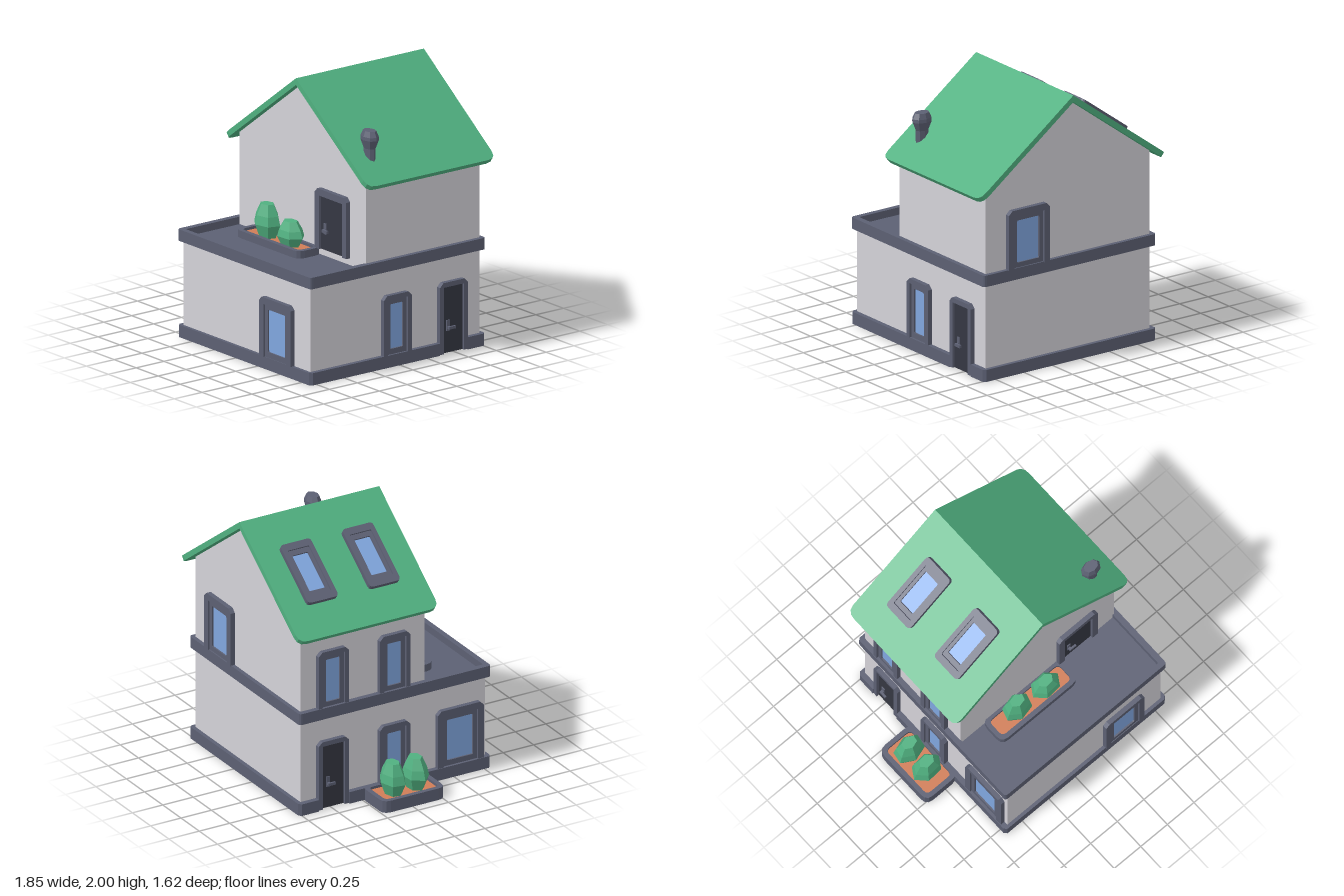
import * as THREE from 'three';

const mat = (name, color) => {
  const m = new THREE.MeshStandardMaterial({ color });
  m.name = name;
  return m;
};

// Rectangle path with per-corner cut or rounded corners
function rectPath(x0, x1, y0, y1, r, Type = THREE.Shape) {
  const p = new Type();
  p.moveTo(x0 + r, y0);
  p.lineTo(x1 - r, y0); p.quadraticCurveTo(x1, y0, x1, y0 + r);
  p.lineTo(x1, y1 - r); p.quadraticCurveTo(x1, y1, x1 - r, y1);
  p.lineTo(x0 + r, y1); p.quadraticCurveTo(x0, y1, x0, y1 - r);
  p.lineTo(x0, y0 + r); p.quadraticCurveTo(x0, y0, x0 + r, y0);
  return p;
}
const polygon = pts => new THREE.Shape(pts.map(p => new THREE.Vector2(p[0], p[1])));
const extrude = (shape, depth) => new THREE.ExtrudeGeometry(shape, { depth, bevelEnabled: false, curveSegments: 3 });

// Extrudes a plan (x, -z) upwards from y0 to y1
function slab(shape, y0, y1) {
  return extrude(shape, y1 - y0).rotateX(-Math.PI / 2).translate(0, y0, 0);
}
const plan = (x0, x1, z0, z1, r, Type) => rectPath(x0, x1, -z1, -z0, r, Type);

// Faceted solid of revolution
function faceted(points, sides) {
  const g = new THREE.LatheGeometry(points.map(p => new THREE.Vector2(p[0], p[1])), sides).toNonIndexed();
  g.computeVertexNormals();
  return g;
}

export function createModel() {
  const wall = mat('wall plaster', 0xd4d2d8);
  const green = mat('green', 0x50b080);
  const slate = mat('slate trim', 0x5c6073);
  const dark = mat('dark door', 0x353742);
  const glass = mat('blue glass', 0x80a6de);
  const soil = mat('terracotta soil', 0xcf7d57);

  const house = new THREE.Group();
  house.name = 'house';
  const add = (name, geo, material, parent = house) => {
    const m = new THREE.Mesh(geo, material);
    m.name = name;
    parent.add(m);
    return m;
  };
  const box = (x0, x1, y0, y1, z0, z1) =>
    new THREE.BoxGeometry(x1 - x0, y1 - y0, z1 - z0).translate((x0 + x1) / 2, (y0 + y1) / 2, (z0 + z1) / 2);

  // Base with notches for the two side doors
  add('base', slab(polygon([
    [-0.64, -0.805], [0.835, -0.805], [0.855, -0.785], [0.855, 0.36], [0.81, 0.36], [0.81, 0.61], [0.855, 0.61],
    [0.855, 0.75], [0.835, 0.77], [-0.64, 0.77], [-0.66, 0.75], [-0.66, 0.61], [-0.61, 0.61], [-0.61, 0.36],
    [-0.66, 0.36], [-0.66, -0.785],
  ]), 0, 0.09), slate);

  // Walls
  add('lowerWalls', box(-0.62, 0.82, 0.02, 0.73, -0.74, 0.78), wall);
  add('upperWalls', extrude(polygon([
    [-0.62, 0.72], [0.82, 0.72], [0.82, 1.435], [0.1, 1.965], [-0.62, 1.435],
  ]), 1.02).translate(0, 0, -0.74), wall);

  // Floor band with raised balcony lip
  const band = plan(-0.66, 0.855, -0.77, 0.805, 0.025);
  band.holes.push(plan(-0.615, 0.81, -0.73, 0.765, 0.01, THREE.Path));
  add('floorBand', slab(band, 0.71, 0.795), slate);
  add('balconyFloor', box(-0.64, 0.83, 0.715, 0.74, 0.2, 0.785), slate);

  // Roof: two slopes meeting at the ridge
  const pitch = 0.637, slope = 1.026, thick = 0.04;
  const slopes = [0, Math.PI].map((turn, i) => {
    const g = new THREE.Group();
    g.name = i ? 'leftOfRidge' : 'rightOfRidge';
    g.position.set(0.1, 2, -0.235);
    g.rotation.y = turn;
    const tilt = new THREE.Group();
    tilt.rotation.z = -pitch;
    g.add(tilt);
    house.add(g);
    const s = new THREE.Shape();
    const h = 0.575, r = 0.07;
    s.moveTo(0, -h);
    s.lineTo(slope - r, -h); s.quadraticCurveTo(slope, -h, slope, -h + r);
    s.lineTo(slope, h - r); s.quadraticCurveTo(slope, h, slope - r, h);
    s.lineTo(0, h);
    add('roofSlope', slab(s, -thick, 0), green, tilt);
    return tilt;
  });

  // Skylights
  for (const z of [0.26, -0.25]) {
    const g = new THREE.Group();
    g.name = 'skylight';
    g.position.set(0.515, 0, z);
    slopes[1].add(g);
    const outer = plan(-0.245, 0.245, -0.125, 0.125, 0.03);
    outer.holes.push(plan(-0.19, 0.19, -0.09, 0.09, 0.01, THREE.Path));
    add('skylightFrame', slab(outer, -0.01, 0.035), slate, g);
    const inner = plan(-0.195, 0.195, -0.095, 0.095, 0.01);
    inner.holes.push(plan(-0.15, 0.15, -0.065, 0.065, 0.008, THREE.Path));
    add('skylightSash', slab(inner, -0.01, 0.022), slate, g);
    add('skylightGlass', box(-0.16, 0.16, 0.002, 0.009, -0.075, 0.075), glass, g);
  }

  // Chimney
  const chimney = add('chimney', faceted(
    [[0.052, 1.44], [0.052, 1.6], [0.08, 1.665], [0.078, 1.69], [0.058, 1.73], [0, 1.73]], 8), slate);
  chimney.scale.z = 0.7;
  chimney.position.set(0.71, 0, 0.16);

  // Door or window, built facing +z with its sill at y = 0
  function opening(kind, w, h, x, y, z, turn) {
    const g = new THREE.Group();
    g.name = kind;
    g.position.set(x, y, z);
    g.rotation.y = turn;
    house.add(g);
    const a = w / 2, t = w > 0.3 ? 0.05 : 0.035, c = 0.03, i = a - t;
    add('surround', extrude(polygon([
      [-a, 0], [-i, 0], [-i, h - t], [i, h - t], [i, 0], [a, 0],
      [a, h - c], [a - c, h], [-a + c, h], [-a, h - c],
    ]), 0.045).translate(0, 0, -0.01), slate, g);
    if (kind === 'door') {
      add('doorPanel', box(-i, i, 0, h - t, -0.01, 0.015), dark, g);
      add('handlePlate', box(-i + 0.035, -i + 0.065, 0.45 * (h - t) - 0.07, 0.45 * (h - t) + 0.01, 0.01, 0.022)
        .translate(0, 0.01, 0), slate, g);
      add('handleLever', box(-i + 0.04, -i + 0.1, 0.42 * (h - t) - 0.03, 0.42 * (h - t) - 0.01, 0.03, 0.045), slate, g);
      add('handleStem', box(-i + 0.04, -i + 0.06, 0.42 * (h - t) - 0.03, 0.42 * (h - t) - 0.01, 0.015, 0.035), slate, g);
    } else {
      const sash = rectPath(-i, i, 0, h - t, 0.002);
      sash.holes.push(rectPath(-i + 0.033, i - 0.033, 0.04, h - t - 0.035, 0.01, THREE.Path));
      add('sash', extrude(sash, 0.03).translate(0, 0, -0.01), slate, g);
      add('pane', box(-i + 0.02, i - 0.02, 0.02, h - t - 0.02, 0.001, 0.008), glass, g);
    }
  }
  const R = Math.PI / 2, L = -R;
  opening('window', 0.36, 0.44, 0.46, 0.09, 0.78, 0);
  opening('door', 0.36, 0.445, 0.46, 0.79, 0.28, 0);
  opening('window', 0.36, 0.44, 0.46, 0.79, -0.74, Math.PI);
  opening('window', 0.25, 0.44, 0.82, 0.09, 0.02, R);
  opening('door', 0.25, 0.525, 0.82, 0.005, -0.485, R);
  opening('window', 0.25, 0.44, -0.62, 0.09, 0.02, L);
  opening('door', 0.25, 0.525, -0.62, 0.005, -0.485, L);
  opening('window', 0.38, 0.44, -0.62, 0.09, 0.56, L);
  for (const z of [0.02, -0.485]) opening('window', 0.25, 0.44, -0.62, 0.79, z, L);

  // Planters: rim, and soil set a little below it
  function planter(x0, x1, z0, z1, y0, y1) {
    const rim = plan(x0, x1, z0, z1, 0.06);
    rim.holes.push(plan(x0 + 0.035, x1 - 0.035, z0 + 0.035, z1 - 0.035, 0.035, THREE.Path));
    add('planterRim', slab(rim, y0, y1), slate);
    add('planterBottom', slab(plan(x0 + 0.02, x1 - 0.02, z0 + 0.02, z1 - 0.02, 0.04), y0, y0 + 0.01), slate);
    add('planterSoil', slab(plan(x0 + 0.02, x1 - 0.02, z0 + 0.02, z1 - 0.02, 0.04), y0 + 0.01, y1 - 0.02), soil);
  }
  planter(-0.41, 0.31, 0.27, 0.485, 0.735, 0.795);
  planter(-0.93, -0.63, -0.24, 0.27, 0, 0.09);

  // Bushes
  const bushGeo = faceted([[0, 0], [0.6, 0], [1, 0.42], [0.85, 0.68], [0.5, 1], [0, 1]], 6);
  for (const [x, y, z, rx, h, rz, turn] of [
    [-0.175, 0.765, 0.38, 0.12, 0.255, 0.09, 0.3],
    [0.09, 0.765, 0.38, 0.125, 0.19, 0.09, 0.1],
    [-0.785, 0.06, -0.08, 0.125, 0.25, 0.092, 0.4],
    [-0.785, 0.06, 0.105, 0.125, 0.25, 0.092, 0.1],
  ]) {
    const bush = add('bush', bushGeo.clone().rotateY(turn + Math.PI / 6).scale(rx, h, rz), green);
    bush.geometry.computeVertexNormals();
    bush.position.set(x, y, z);
  }

  return house;
}
